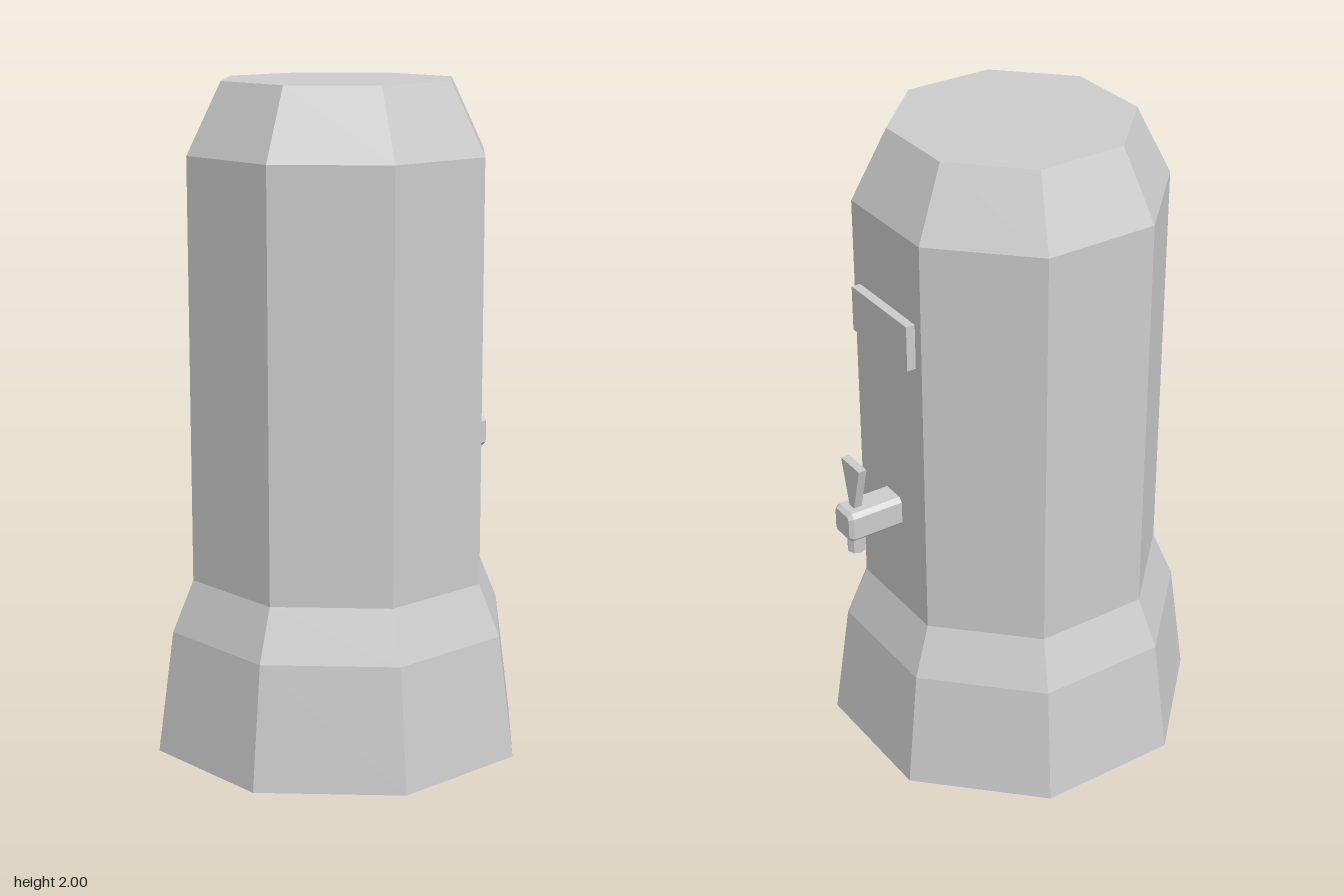
import * as THREE from 'three';

const material = new THREE.MeshStandardMaterial({ color: 0xcccccc, flatShading: true });
const CENTRE_Z = 0.033; // axis of the octagonal column
const BACK_Z = -0.394; // flat rear face of the shaft

function addPart(parent, name, geometry, x = 0, y = 0, z = 0) {
  const mesh = new THREE.Mesh(geometry, material);
  mesh.name = name;
  mesh.position.set(x, y, z);
  parent.add(mesh);
  return mesh;
}

// Closed shape from corner pairs
const polygon = (pts) => new THREE.Shape(pts.map(([x, y]) => new THREE.Vector2(x, y)));

// Box with every edge chamfered, starting at z = 0 and running to z = d
function chamferedBox(w, h, d, c) {
  const x = w / 2, y = h / 2;
  const outline = polygon([
    [x - c, -y], [x, -y + c], [x, y - c], [x - c, y],
    [-x + c, y], [-x, y - c], [-x, -y + c], [-x + c, -y],
  ]);
  return new THREE.ExtrudeGeometry(outline, {
    depth: d - 2 * c, bevelEnabled: true, bevelThickness: c,
    bevelSize: c * 0.8, bevelOffset: -c * 0.8, bevelSegments: 1,
  }).translate(0, 0, c);
}

export function createModel() {
  const model = new THREE.Group();
  model.name = 'waterDispenser';

  // Octagonal column: [distance from axis to flat side, height]
  const profile = [
    [0, 0], [0.533, 0], [0.487, 0.37], [0.427, 0.525],
    [0.427, 1.79], [0.33, 2], [0, 2],
  ].map(([flat, y]) => new THREE.Vector2(flat / Math.cos(Math.PI / 8), y));
  addPart(model, 'column', new THREE.LatheGeometry(profile, 8, Math.PI / 8), 0, 0, CENTRE_Z);

  // Raised plate on the back
  addPart(model, 'plaque', new THREE.BoxGeometry(0.292, 0.14, 0.04), 0, 1.47, BACK_Z - 0.008);

  // Tap below the plate
  const tap = new THREE.Group();
  tap.name = 'tap';
  model.add(tap);
  addPart(tap, 'tapBody', chamferedBox(0.096, 0.096, 0.19, 0.013), 0, 0.863, -0.57);
  addPart(tap, 'tapSpout', new THREE.CylinderGeometry(0.027, 0.027, 0.08, 8), 0, 0.798, -0.526);

  // Lever: thin wedge widening upwards
  const lever = polygon([[-0.01, 0], [0.01, 0], [0.05, 0.155], [-0.05, 0.155]]);
  addPart(tap, 'tapLever', new THREE.ExtrudeGeometry(lever, { depth: 0.026, bevelEnabled: false }), 0, 0.9, -0.536);

  return model;
}
